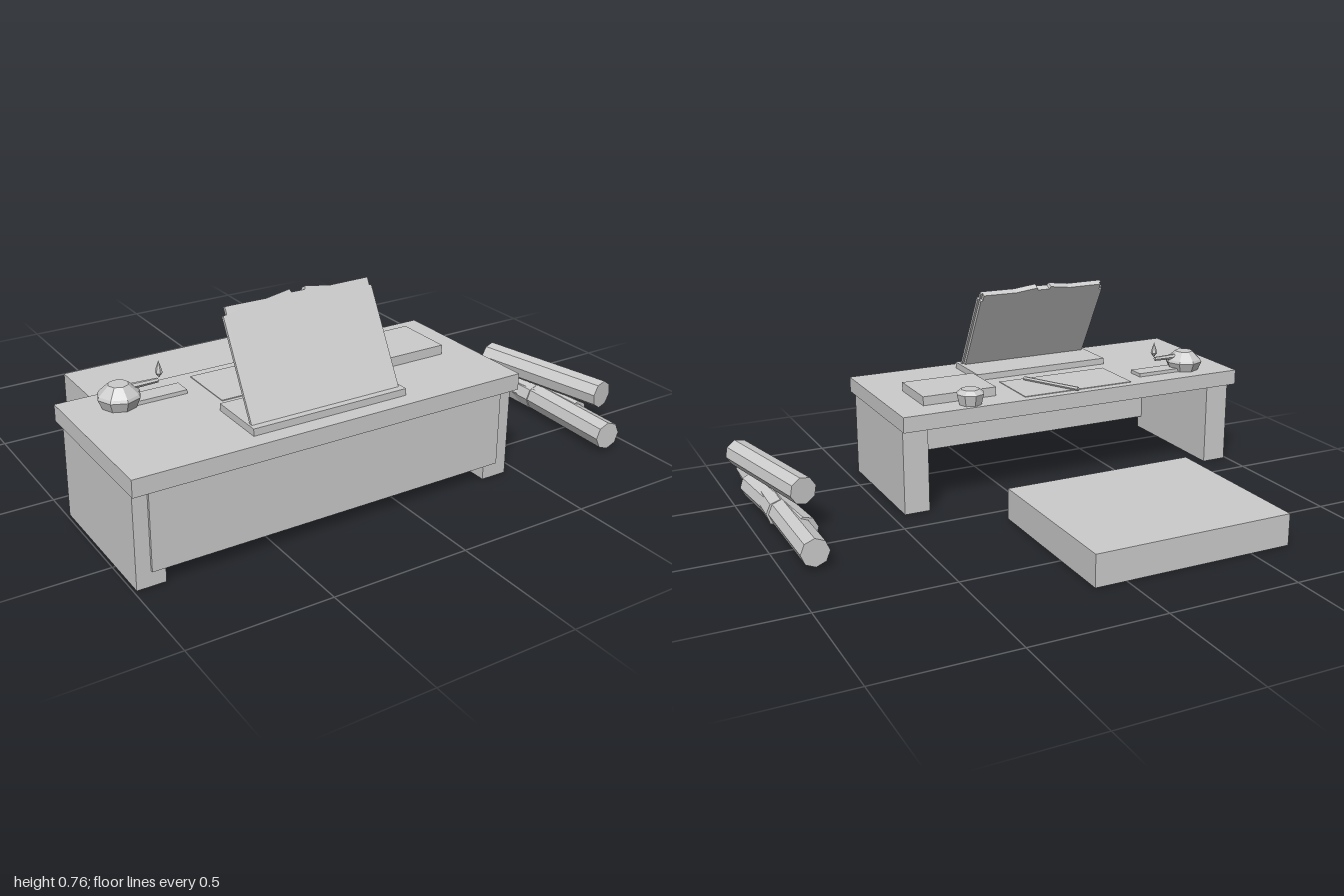
import * as THREE from 'three';

export function createModel() {
  const model = new THREE.Group();
  const clay = new THREE.MeshStandardMaterial({ color: 0xcccccc, flatShading: true });
  clay.name = 'light grey';

  const add = (name, geometry, x = 0, y = 0, z = 0) => {
    const mesh = new THREE.Mesh(geometry, clay);
    mesh.name = name;
    mesh.position.set(x, y, z);
    model.add(mesh);
    return mesh;
  };
  // Box given by its extents on each axis
  const block = (name, [x0, x1], [y0, y1], [z0, z1]) =>
    add(name, new THREE.BoxGeometry(x1 - x0, y1 - y0, z1 - z0),
      (x0 + x1) / 2, (y0 + y1) / 2, (z0 + z1) / 2);
  // Straight rod between two points
  const rod = (name, from, to, r0, r1, sides) => {
    const a = new THREE.Vector3(...from), b = new THREE.Vector3(...to);
    const dir = b.clone().sub(a);
    const mesh = add(name, new THREE.CylinderGeometry(r1, r0, dir.length(), sides));
    mesh.position.copy(a).add(b).multiplyScalar(0.5);
    mesh.quaternion.setFromUnitVectors(new THREE.Vector3(0, 1, 0), dir.normalize());
    return mesh;
  };
  // Turned shape from [radius, height] pairs
  const turned = (name, profile, sides, x, y, z) =>
    add(name, new THREE.LatheGeometry(profile.map(p => new THREE.Vector2(...p)), sides), x, y, z);

  // Low desk
  block('deskTop', [-1, 0.46], [0.335, 0.395], [0.085, 0.69]);
  for (const side of [-1, 1]) {
    const x = -0.27 + side * 0.67;
    block(side < 0 ? 'rightLeg' : 'leftLeg', [x - 0.05, x + 0.05], [0, 0.335], [0.125, 0.66]);
  }
  block('frontPanel', [-0.94, 0.4], [0.055, 0.335], [0.63, 0.67]);

  // Floor cushion behind the desk
  block('cushion', [-0.66, 0.12], [0, 0.12], [-0.74, -0.08]);

  // Leaning board with a worn top edge, on its stand
  block('boardStand', [-0.56, 0.02], [0.395, 0.42], [0.41, 0.63]);
  const outline = (inset) => {
    const s = new THREE.Shape();
    [[-0.553 + inset, 0], [0.008 - inset, 0], [0.008 - inset, 0.352], [0 - inset, 0.354],
      [0 - inset, 0.38], [-0.15, 0.379], [-0.2, 0.387], [-0.24, 0.393], [-0.245, 0.382],
      [-0.295, 0.382], [-0.3, 0.393], [-0.34, 0.387], [-0.39, 0.379], [-0.54 + inset, 0.38],
      [-0.54 + inset, 0.354], [-0.553 + inset, 0.352],
    ].forEach(([x, y], i) => (i ? s.lineTo(x, y) : s.moveTo(x, y)));
    s.closePath();
    return s;
  };
  [['boardFace', 0, -0.012, 0.012], ['boardBack', 0.008, -0.026, 0.014]].forEach(([name, inset, z, depth]) => {
    const g = new THREE.ExtrudeGeometry(outline(inset), { depth, bevelEnabled: false });
    g.translate(0, 0, z);
    add(name, g, 0, 0.42, 0.605).rotation.x = -0.504;
  });

  // Paper, writing brush and box
  block('paper', [-0.52, -0.05], [0.395, 0.398], [0.12, 0.35]);
  rod('brush', [-0.27, 0.405, 0.1], [-0.15, 0.405, 0.33], 0.008, 0.008, 6);
  block('box', [0.04, 0.34], [0.395, 0.43], [0.19, 0.41]);

  // Small pot
  turned('pot', [[0, 0], [0.045, 0], [0.055, 0.042], [0.035, 0.058], [0, 0.058]], 8, 0.17, 0.395, 0.14);

  // Oil lamp on a tray, with spout and flame
  block('lampTray', [-0.82, -0.59], [0.395, 0.409], [0.168, 0.236]);
  turned('lampBody', [[0, 0], [0.06, 0], [0.075, 0.035], [0.07, 0.045], [0.035, 0.077], [0, 0.077]],
    8, -0.82, 0.395, 0.202);
  rod('lampSpout', [-0.78, 0.452, 0.202], [-0.68, 0.452, 0.202], 0.011, 0.008, 6);
  turned('flame', [[0, 0], [0.013, 0.018], [0.009, 0.035], [0, 0.062]], 6, -0.675, 0.46, 0.202);

  // Stack of rolled scrolls on the floor
  [
    [[0.893, 0.0625, -0.2], [0.893, 0.0625, 0.33]],
    [[0.87, 0.0625, 0], [0.917, 0.0625, 0.53]],
    [[0.902, 0.0625, 0.2], [0.882, 0.0625, 0.73]],
    [[0.84, 0.172, 0.1], [0.947, 0.172, 0.62]],
  ].forEach(([a, b], i) => rod('scroll' + (i + 1), a, b, 0.0525, 0.0525, 8));

  return model;
}
